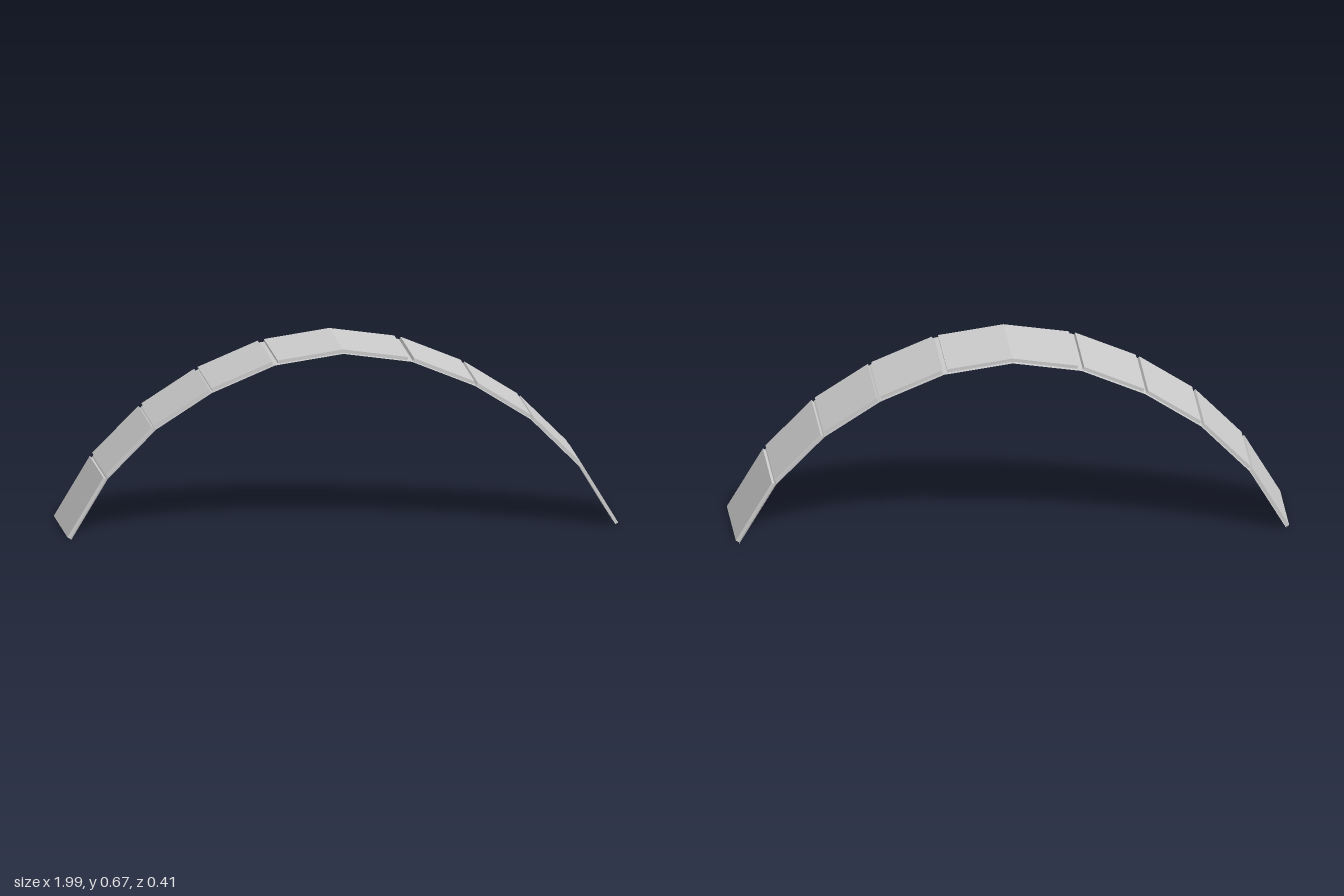
import * as THREE from 'three';

// Fold points of the arch from the crown down to the +x foot
const FOLDS = [[0, 0.656], [0.248, 0.62], [0.477, 0.525], [0.678, 0.397], [0.853, 0.221], [0.986, 0]]
  .map(([x, y]) => new THREE.Vector2(x, y));
const SHEET_WIDTH = 0.41, PANEL_WIDTH = 0.378;
const LOW = 0.001, HIGH = 0.013; // panel underside and top above the sheet

export function createModel() {
  const group = new THREE.Group();
  const material = new THREE.MeshStandardMaterial({ color: 0xcccccc, flatShading: true });
  const thin = material.clone();
  thin.side = THREE.DoubleSide;

  const add = (name, geometry, mat) => {
    const mesh = new THREE.Mesh(geometry, mat);
    mesh.name = name;
    group.add(mesh);
  };

  // Backing sheet: a flat strip folded along the arch
  const arch = [...FOLDS.slice(1).reverse().map(p => new THREE.Vector2(-p.x, p.y)), ...FOLDS];
  const sheet = new THREE.PlaneGeometry(1, SHEET_WIDTH, arch.length - 1, 1);
  const pos = sheet.attributes.position;
  for (let i = 0; i < pos.count; i++) {
    const p = arch[i % arch.length];
    pos.setXYZ(i, p.x, p.y, -pos.getY(i));
  }
  const folded = sheet.toNonIndexed();
  folded.computeVertexNormals();
  add('backingSheet', folded, thin);

  const addPanel = (name, points) => {
    const geometry = new THREE.ExtrudeGeometry(new THREE.Shape(points),
      { depth: PANEL_WIDTH, bevelEnabled: false });
    geometry.translate(0, 0, -PANEL_WIDTH / 2);
    add(name, geometry, material);
  };

  // Point on a straight run, trimmed from its ends and raised along its normal
  const onRun = (i, atEnd, trim, lift) => {
    const a = FOLDS[i], b = FOLDS[i + 1];
    const d = b.clone().sub(a).normalize();
    const p = (atEnd ? b : a).clone().addScaledVector(d, atEnd ? -trim : trim);
    return p.add(new THREE.Vector2(-d.y, d.x).multiplyScalar(lift));
  };
  const mirrored = p => new THREE.Vector2(-p.x, p.y);

  // Crown panel, bent in the middle
  const low = onRun(0, true, 0.014, LOW), high = onRun(0, true, 0.014, HIGH);
  const crown = FOLDS[0];
  addPanel('crownPanel', [
    mirrored(low), new THREE.Vector2(0, crown.y + LOW), low,
    high, new THREE.Vector2(0, crown.y + HIGH), mirrored(high),
  ]);

  // Flat panels stepping down both sides
  for (let i = 1; i < FOLDS.length - 1; i++) {
    const endTrim = i === FOLDS.length - 2 ? 0 : 0.006;
    const section = [
      onRun(i, false, 0.006, LOW), onRun(i, true, endTrim, LOW),
      onRun(i, true, endTrim, HIGH), onRun(i, false, 0.006, HIGH),
    ];
    addPanel('leftPanel' + i, section);
    addPanel('rightPanel' + i, section.map(mirrored));
  }
  return group;
}
